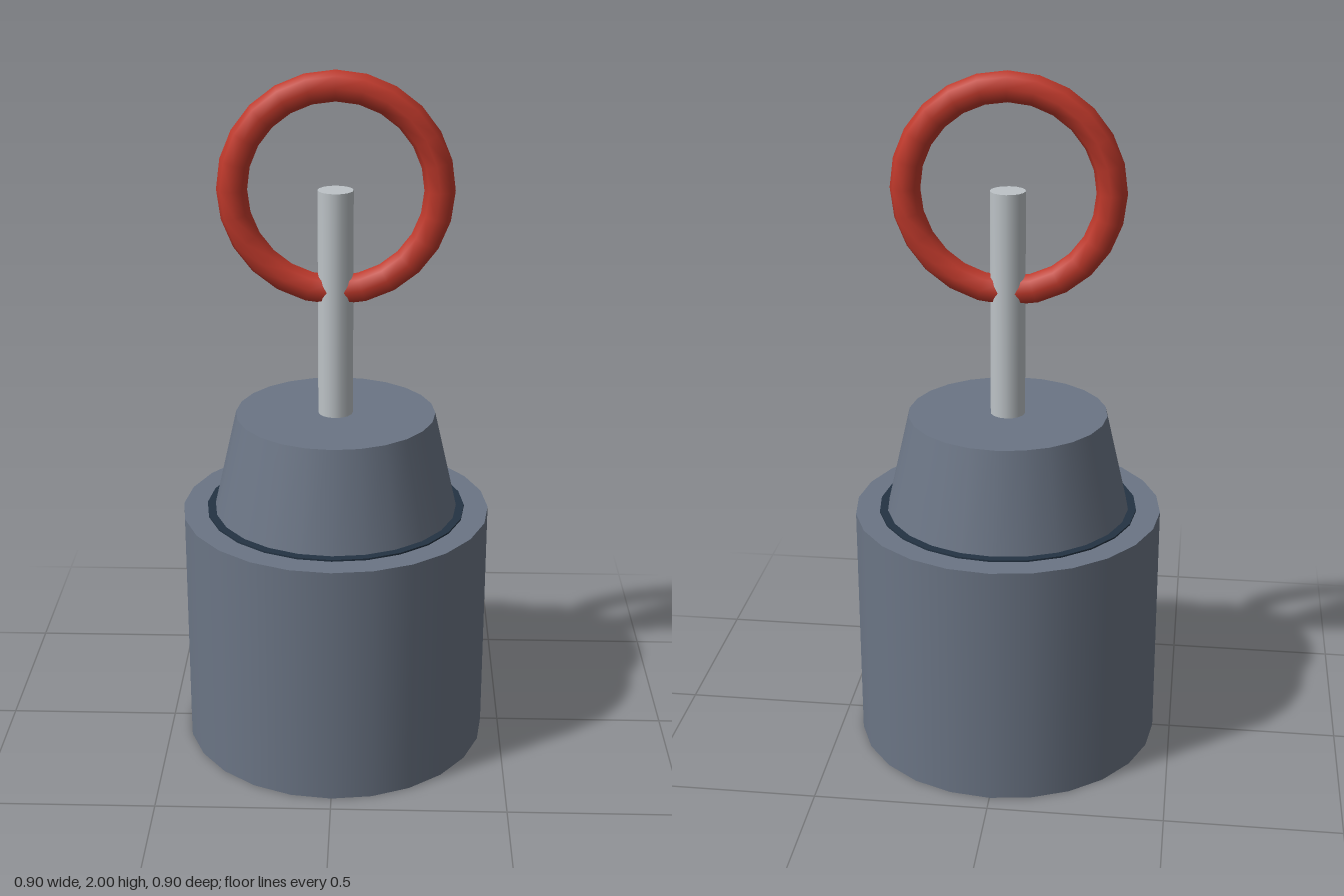
import * as THREE from 'three';

const material = (name, color) => {
  const m = new THREE.MeshStandardMaterial({ color });
  m.name = name;
  return m;
};

export function createModel() {
  const group = new THREE.Group();
  const steel = material('slate grey', 0x6b7585);
  const dark = material('dark navy', 0x243343);
  const silver = material('silver', 0xbdc3c7);
  const red = material('red', 0xc0392b);

  // Upright round part between two heights
  const column = (name, rTop, rBottom, y0, y1, sides, mat) => {
    const mesh = new THREE.Mesh(new THREE.CylinderGeometry(rTop, rBottom, y1 - y0, sides), mat);
    mesh.position.y = (y0 + y1) / 2;
    mesh.name = name;
    group.add(mesh);
  };

  column('body', 0.448, 0.448, 0, 0.72, 24, steel);
  column('collar', 0.378, 0.378, 0.7, 0.725, 24, dark);
  column('taperedCap', 0.288, 0.355, 0.722, 1.015, 24, steel);
  column('pin', 0.05, 0.05, 1.0, 1.67, 16, silver);

  // Pull ring threaded through the pin
  const ring = new THREE.Mesh(new THREE.TorusGeometry(0.287, 0.043, 8, 24), red);
  ring.position.y = 1.67;
  ring.name = 'pullRing';
  group.add(ring);

  return group;
}
